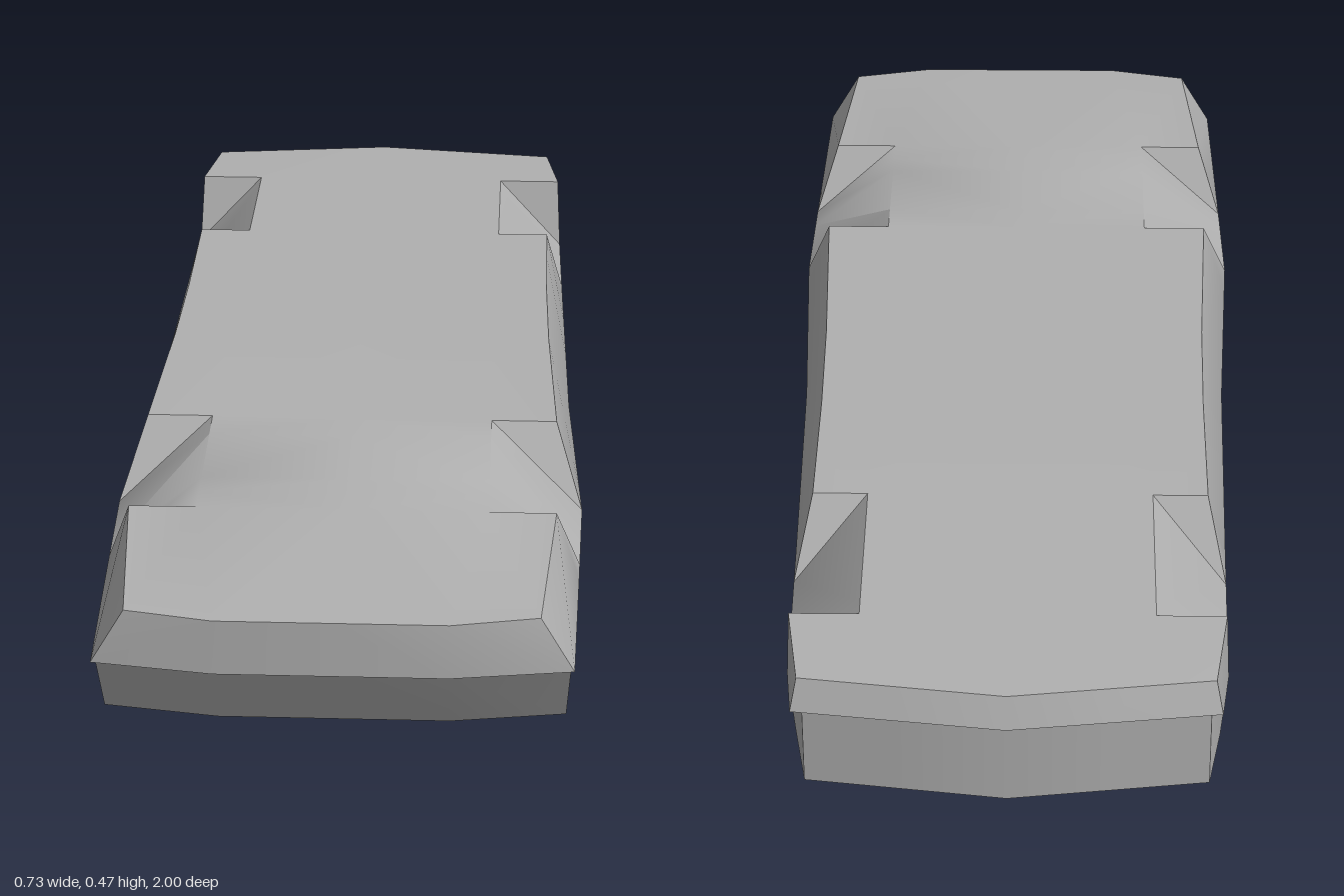
import * as THREE from 'three';
import { toCreasedNormals } from 'three/addons/utils/BufferGeometryUtils.js';

// piecewise linear lookup, keys run from front (+z) to back
function along(table, z) {
  for (let i = 1; i < table.length; i++) {
    const [z0, v0] = table[i - 1], [z1, v1] = table[i];
    if (z >= z1) return v0 + (v1 - v0) * Math.min(1, Math.max(0, (z0 - z) / (z0 - z1)));
  }
  return table[table.length - 1][1];
}

// outlines along the length of the overturned body
const floorY = [[1, 0.43], [0.66, 0.453], [0.34, 0.467], [-0.485, 0.467], [-0.79, 0.456], [-1, 0.45]];
const floorX = [[1, 0.30], [0.66, 0.322], [0.34, 0.322], [-0.1, 0.305], [-0.485, 0.305], [-0.79, 0.325], [-1, 0.305]];
const wideX = [[1, 0.35], [0.41, 0.364], [0, 0.345], [-0.5, 0.335], [-0.79, 0.33], [-1, 0.31]];
const beltX = [[1, 0.34], [0, 0.335], [-0.79, 0.32], [-1, 0.30]];
const beltY = [[0.92, 0.235], [0.56, 0.222], [-0.38, 0.222], [-1, 0.245]];
const edgeX = [[0.56, 0.26], [0.35, 0.213], [-0.22, 0.213], [-0.38, 0.26]];
const edgeY = [[0.92, 0.232], [0.56, 0.21], [0.35, 0.087], [-0.22, 0.087], [-0.38, 0.21], [-0.92, 0.24]];
const roofY = [[0.92, 0.23], [0.56, 0.203], [0.35, 0.066], [-0.22, 0.066], [-0.38, 0.203], [-0.92, 0.238]];

// [z, is inside a wheel arch]
const stations = [[0.66, 0], [0.61, 1], [0.56, 1], [0.41, 1], [0.345, 0], [0, 0], [-0.22, 0],
  [-0.38, 0], [-0.485, 0], [-0.55, 1], [-0.76, 1], [-0.79, 0]];

// end faces as rows of [corner x, y, centre z]: lip on top, recessed panel below
const frontRows = [[0.30, 0.43, 1], [0.35, 0.345, 1], [0.345, 0.338, 0.98], [0.34, 0.235, 0.92]];
const rearRows = [[0.305, 0.45, -0.985], [0.315, 0.40, -1], [0.30, 0.395, -0.965], [0.30, 0.245, -0.96]];
const KINK = 0.17;
const frontBow = (x, c) => -0.03 * Math.max(0, (x - KINK) / (c - KINK));
const rearBow = (x, c) => 0.042 * x / c;

// half cross-section from the floor centre, round the side, to the roof centre
function section([z, arch]) {
  const y = along(floorY, z);
  const wide = [along(wideX, z), along([[1, 0.345], [-0.79, 0.345], [-1, 0.4]], z), z];
  const belt = [along(beltX, z), along(beltY, z), z];
  const under = wide.map((v, i) => v + (belt[i] - v) * 0.06);
  const roof = along(roofY, z);
  return [[0, y, z], [0.22, y, z], arch ? wide : [along(floorX, z), y, z], wide, under, belt,
    [along(edgeX, z), along(edgeY, z), z], [0.147, roof, z], [0, roof, z]];
}

function endSection(rows, bow) {
  const at = (row, x) => [x, row[1], row[2] + bow(x, row[0])];
  return [at(rows[0], 0), at(rows[0], KINK), ...rows.map((r) => at(r, r[0])),
    at(rows[3], 0.26), at(rows[3], KINK), at(rows[3], 0)];
}

function bodyGeometry() {
  const pos = [];
  const v = (p) => new THREE.Vector3(...p);
  // adds a triangle and its mirror image, skipping collapsed ones
  const tri = (a, b, c) => {
    if (v(b).sub(v(a)).cross(v(c).sub(v(a))).length() < 1e-7) return;
    pos.push(...a, ...b, ...c);
    for (const p of [a, c, b]) pos.push(-p[0], p[1], p[2]);
  };
  const rings = [endSection(frontRows, frontBow), ...stations.map(section), endSection(rearRows, rearBow)];
  const arch = [0, ...stations.map((s) => s[1]), 0];

  // skin between neighbouring sections
  for (let i = 0; i < rings.length - 1; i++) {
    for (let j = 0; j < rings[i].length - 1; j++) {
      const a = rings[i][j], b = rings[i][j + 1], c = rings[i + 1][j + 1], d = rings[i + 1][j];
      if (arch[i + 1] && !arch[i]) { tri(a, b, c); tri(a, c, d); }
      else { tri(a, b, d); tri(b, c, d); }
    }
  }

  // front and rear faces
  for (const [rows, bow, front] of [[frontRows, frontBow, true], [rearRows, rearBow, false]]) {
    const grid = rows.map((r) => [0, KINK, r[0]].map((x) => [x, r[1], r[2] + bow(x, r[0])]));
    for (let i = 0; i < 3; i++) {
      for (let j = 0; j < 2; j++) {
        const a = grid[i][j], b = grid[i + 1][j], c = grid[i + 1][j + 1], d = grid[i][j + 1];
        if (front) { tri(a, b, c); tri(a, c, d); }
        else { tri(a, c, b); tri(a, d, c); }
      }
    }
  }
  const g = new THREE.BufferGeometry();
  g.setAttribute('position', new THREE.Float32BufferAttribute(pos, 3));
  return toCreasedNormals(g, 0.68);
}

export function createModel() {
  const group = new THREE.Group();
  group.name = 'overturnedCarBody';
  const grey = new THREE.MeshStandardMaterial({ color: 0xb0b0b0 });
  grey.name = 'grey';

  const body = new THREE.Mesh(bodyGeometry(), grey);
  body.name = 'bodyShell';
  group.add(body);

  // pair of tapered roof lamps
  const lamp = new THREE.CylinderGeometry(0.046, 0.034, 0.08, 8);
  for (const side of [1, -1]) {
    const m = new THREE.Mesh(lamp, grey);
    m.name = side > 0 ? 'leftRoofLamp' : 'rightRoofLamp';
    m.position.set(side * 0.1, 0.04, 0.048);
    group.add(m);
  }
  return group;
}
